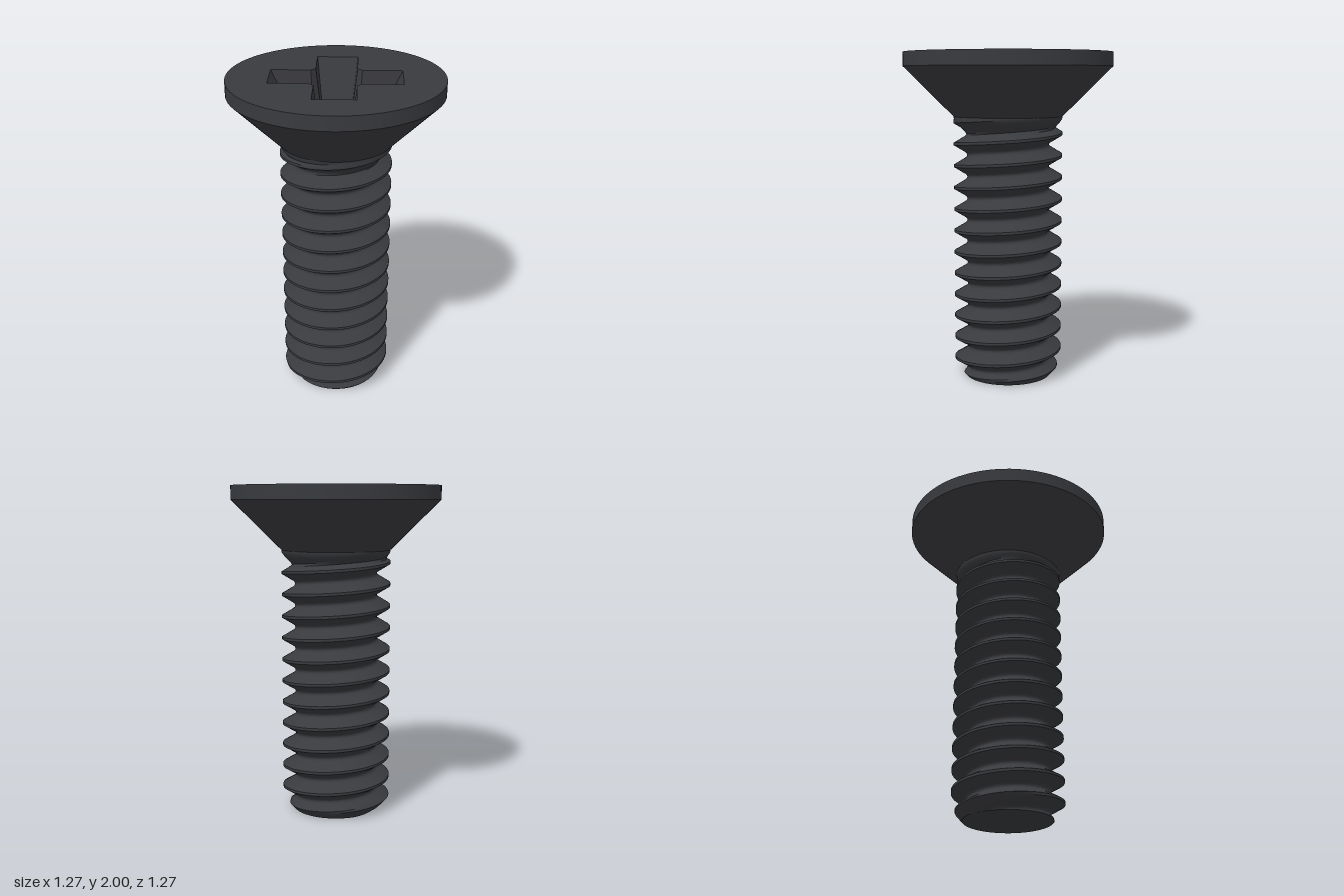
import * as THREE from 'three';
import { toCreasedNormals } from 'three/addons/utils/BufferGeometryUtils.js';

const SEG = 96;
const PITCH = 0.1337, START = 0.005;      // thread lead and crest height at +x
const CREST = 0.332, ROOT = 0.25;
const NECK_Y = 1.615, RIM_Y = 1.915, TOP_Y = 2, HEAD_R = 0.633;
const FLOOR_Y = 1.73, PIT_Y = 1.65;

const material = new THREE.MeshStandardMaterial({ color: 0x393a3e });

// Thread section over one pitch: [fraction of pitch from the crest, radius]
const PROFILE = [
  [-0.06, CREST], [0.06, CREST], [0.16, 0.309], [0.26, 0.287], [0.37, 0.262], [0.43, 0.253],
  [0.5, ROOT], [0.57, 0.253], [0.63, 0.262], [0.74, 0.287], [0.84, 0.309], [0.94, CREST],
];

function profileRadius(t) {
  t -= Math.floor(t + 0.06);
  for (let i = 1; i < PROFILE.length; i++) {
    const [t0, r0] = PROFILE[i - 1], [t1, r1] = PROFILE[i];
    if (t <= t1) return r0 + (r1 - r0) * (t - t0) / (t1 - t0);
  }
  return CREST;
}

// Shank radius: helical thread, run-out under the head, chamfer at the tip
function shankRadius(theta, y) {
  const thread = profileRadius((y - START) / PITCH - theta / (2 * Math.PI));
  const runOut = ROOT + (CREST - ROOT) * THREE.MathUtils.smoothstep(y, 1.49, NECK_Y);
  return Math.min(Math.max(thread, runOut), 0.265 + 0.9 * y);
}

// Collects triangles, dropping the collapsed ones
function triangleBuilder() {
  const data = [];
  const tri = (a, b, c) => {
    const area = b.clone().sub(a).cross(c.clone().sub(a)).length();
    if (area > 1e-9) for (const p of [a, b, c]) data.push(p.x, p.y, p.z);
  };
  const quad = (a, b, c, d) => { tri(a, b, c); tri(a, c, d); };
  const build = (crease) => {
    const g = new THREE.BufferGeometry();
    g.setAttribute('position', new THREE.Float32BufferAttribute(data, 3));
    return toCreasedNormals(g, crease);
  };
  return { tri, quad, build };
}

function shankGeometry() {
  const { tri, quad, build } = triangleBuilder();
  const point = (j, k) => {
    const theta = (j / SEG) * 2 * Math.PI;
    const n = PROFILE.length - 1;
    const turn = Math.floor(k / n) - 1 + j / SEG;
    const y = THREE.MathUtils.clamp(START + (turn + PROFILE[k % n][0]) * PITCH, 0, NECK_Y);
    const r = shankRadius(theta, y);
    return new THREE.Vector3(r * Math.cos(theta), y, -r * Math.sin(theta));
  };
  const rows = (Math.ceil(NECK_Y / PITCH) + 2) * (PROFILE.length - 1);
  const centre = new THREE.Vector3();
  for (let j = 0; j < SEG; j++) {
    for (let k = 0; k < rows; k++) {
      quad(point(j, k), point(j + 1, k), point(j + 1, k + 1), point(j, k + 1));
    }
    tri(centre, point(j + 1, 0), point(j, 0));   // flat tip
  }
  return build(0.7);
}

// Cross outline: half width w, arm length l, inner corner start c
function crossOutline(w, l, c) {
  const pts = [];
  for (let i = 0; i < 4; i++) {
    for (const [x, y] of [[l, -w], [l, w], [c, w], [w, c]]) {
      pts.push(new THREE.Vector2(x, y).rotateAround(new THREE.Vector2(), i * Math.PI / 2));
    }
  }
  return pts;
}

const lift = (p, y) => new THREE.Vector3(p.x, y, -p.y);
const TOP_CROSS = crossOutline(0.122, 0.384, 0.15);
const FLOOR_W = 0.09, FLOOR_L = 0.251, FLOOR_C = 0.135;

function recessWalls() {
  const { quad, build } = triangleBuilder();
  const floor = crossOutline(FLOOR_W, FLOOR_L, FLOOR_C);
  TOP_CROSS.forEach((p, i) => {
    const n = (i + 1) % TOP_CROSS.length;
    quad(lift(p, TOP_Y), lift(TOP_CROSS[n], TOP_Y), lift(floor[n], FLOOR_Y), lift(floor[i], FLOOR_Y));
  });
  return build(0.1);
}

// Arc where an arm floor meets the conical pit
function pitArc() {
  const r = Math.hypot(FLOOR_W, FLOOR_C), a = Math.atan2(FLOOR_W, FLOOR_C);
  return Array.from({ length: 13 }, (_, i) => {
    const t = -a + (2 * a * i) / 12;
    return new THREE.Vector2(r * Math.cos(t), r * Math.sin(t));
  });
}

function pitGeometry() {
  const { tri, build } = triangleBuilder();
  const loop = [];
  for (let i = 0; i < 4; i++) {
    for (const p of pitArc()) loop.push(p.rotateAround(new THREE.Vector2(), i * Math.PI / 2));
  }
  const apex = new THREE.Vector3(0, PIT_Y, 0);
  loop.forEach((p, i) => tri(apex, lift(p, FLOOR_Y), lift(loop[(i + 1) % loop.length], FLOOR_Y)));
  return build(0.3);
}

// Flat shape laid face up at height y
function flatGeometry(shape, y) {
  return new THREE.ShapeGeometry(shape, SEG).rotateX(-Math.PI / 2).translate(0, y, 0);
}

export function createModel() {
  const model = new THREE.Group();
  model.name = 'countersunkScrew';
  const add = (name, geometry, parent = model) => {
    const mesh = new THREE.Mesh(geometry, material);
    mesh.name = name;
    parent.add(mesh);
    return mesh;
  };

  add('threadedShank', shankGeometry());

  // Countersunk head: cone and rim
  const section = [[CREST, NECK_Y], [HEAD_R, RIM_Y], [HEAD_R, TOP_Y]].map(([x, y]) => new THREE.Vector2(x, y));
  add('headSide', toCreasedNormals(new THREE.LatheGeometry(section, SEG), 0.5));

  // Head face with the cross cut out
  const face = new THREE.Shape().absarc(0, 0, HEAD_R, 0, Math.PI * 2);
  face.holes.push(new THREE.Path(TOP_CROSS));
  add('headFace', flatGeometry(face, TOP_Y));

  // Cross recess
  const recess = new THREE.Group();
  recess.name = 'crossRecess';
  model.add(recess);
  add('recessWalls', recessWalls(), recess);
  add('recessPit', pitGeometry(), recess);
  const armFloor = new THREE.Shape([
    new THREE.Vector2(FLOOR_L, -FLOOR_W), new THREE.Vector2(FLOOR_L, FLOOR_W), ...pitArc().reverse(),
  ]);
  for (let i = 0; i < 4; i++) {
    add('recessArmFloor', flatGeometry(armFloor, FLOOR_Y), recess).rotation.y = i * Math.PI / 2;
  }
  return model;
}
